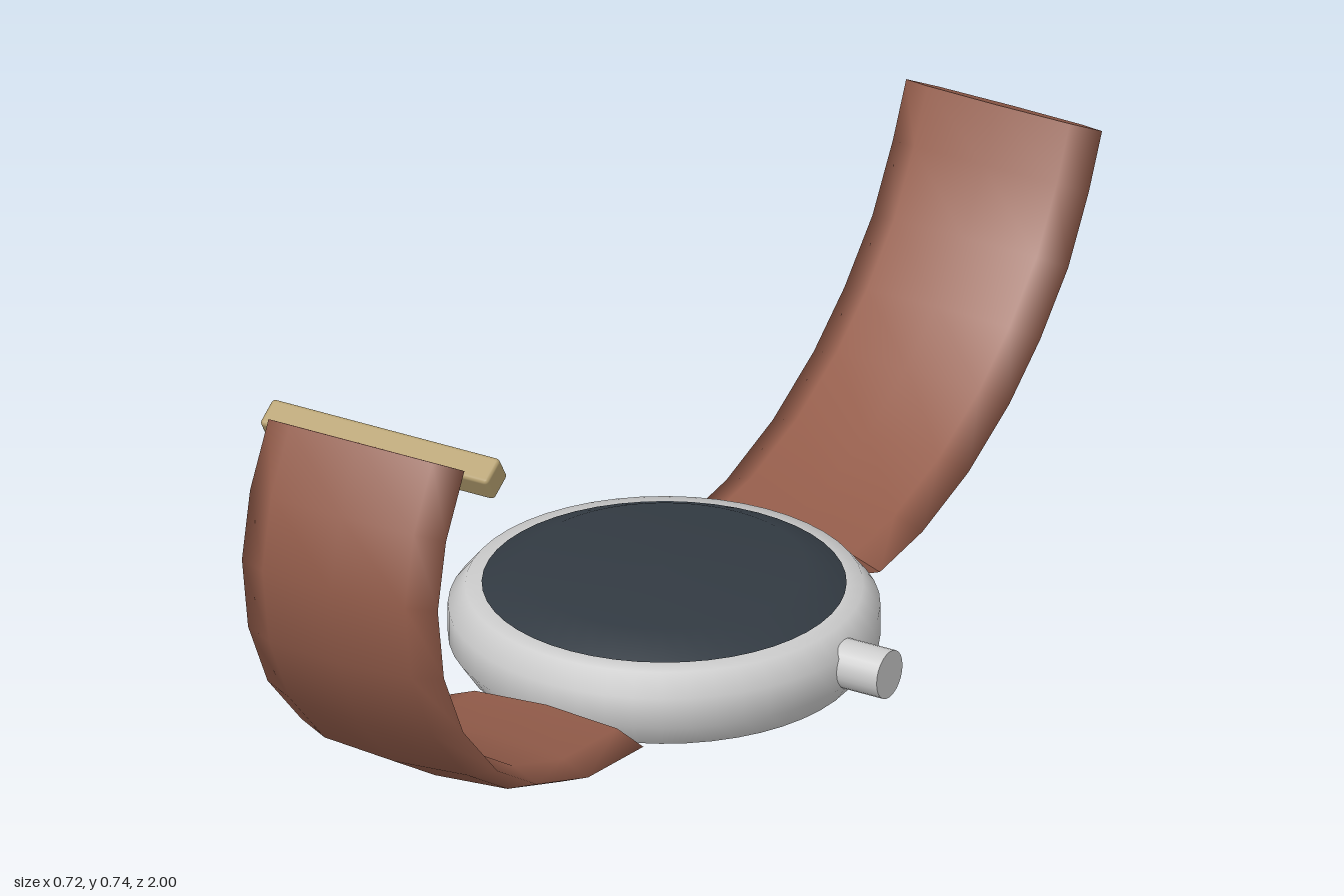
import * as THREE from 'three';
import { RoundedBoxGeometry } from 'three/addons/geometries/RoundedBoxGeometry.js';

const CX = -0.034; // centre line of the watch
const CZ = 0.025;  // centre of the case

const material = (color) => new THREE.MeshStandardMaterial({ color });

function addMesh(group, name, geometry, mat, x, y, z) {
  const mesh = new THREE.Mesh(geometry, mat);
  mesh.name = name;
  mesh.position.set(x, y, z);
  group.add(mesh);
  return mesh;
}

const lathe = (points) =>
  new THREE.LatheGeometry(points.map(([r, y]) => new THREE.Vector2(r, y)), 48);

// Lens-shaped strap section: [across, thickness], counter-clockwise
const SECTION = [
  [0.172, 0], [0.125, 0.018], [0, 0.026], [-0.125, 0.018],
  [-0.172, 0], [-0.125, -0.018], [0, -0.026], [0.125, -0.018],
];

// Sweeps the section along a path of [z, y] points, with closed ends
function strapGeometry(path) {
  const n = SECTION.length;
  const last = path.length - 1;
  const positions = [];
  const index = [];
  const addRing = (i) => {
    const [z0, y0] = path[Math.max(i - 1, 0)];
    const [z1, y1] = path[Math.min(i + 1, last)];
    const length = Math.hypot(z1 - z0, y1 - y0);
    const tz = (z1 - z0) / length;
    const ty = (y1 - y0) / length;
    for (const [across, thick] of SECTION) {
      positions.push(across, path[i][1] + thick * tz, path[i][0] - thick * ty);
    }
  };
  path.forEach((_, i) => addRing(i));
  for (let i = 0; i < last; i++) {
    for (let j = 0; j < n; j++) {
      const a = i * n + j;
      const b = i * n + (j + 1) % n;
      index.push(a, b, a + n, b, b + n, a + n);
    }
  }
  // End caps with their own vertices, so the edges stay sharp
  const start = positions.length / 3;
  addRing(0);
  addRing(last);
  for (let j = 1; j < n - 1; j++) {
    index.push(start, start + j + 1, start + j);
    index.push(start + n, start + n + j, start + n + j + 1);
  }
  const geometry = new THREE.BufferGeometry();
  geometry.setAttribute('position', new THREE.Float32BufferAttribute(positions, 3));
  geometry.setIndex(index);
  geometry.computeVertexNormals();
  return geometry;
}

export function createModel() {
  const watch = new THREE.Group();
  watch.name = 'wristwatch';
  const metal = material(0xcccccc);
  const leather = material(0x935c4a);
  const glass = material(0x323a42);
  const brass = material(0xb5a070);

  // Case: flat back and top, bevelled wall (repeated points keep an edge sharp)
  addMesh(watch, 'case', lathe([
    [0, 0], [0.3, 0], [0.3, 0], [0.326, 0.038], [0.326, 0.088],
    [0.3, 0.12], [0.27, 0.12], [0.27, 0.12], [0, 0.12],
  ]), metal, CX, 0, CZ);

  // Domed display glass
  addMesh(watch, 'display', lathe([
    [0, 0.124], [0.275, 0.124], [0.275, 0.124], [0.215, 0.151], [0, 0.154],
  ]), glass, CX, 0, CZ);

  // Crown on the side of the case
  const crown = addMesh(watch, 'crown',
    new THREE.CylinderGeometry(0.038, 0.038, 0.08, 24), metal, 0.32, 0.067, 0.022);
  crown.rotation.z = Math.PI / 2;

  // Straps
  addMesh(watch, 'frontStrap', strapGeometry([
    [0.373, 0.038], [0.535, 0.055], [0.685, 0.107], [0.8, 0.178], [0.9, 0.285],
    [0.957, 0.4], [0.975, 0.52], [0.951, 0.627], [0.897, 0.723],
  ]), leather, CX, 0, 0);
  addMesh(watch, 'backStrap', strapGeometry([
    [-0.32, 0.038], [-0.445, 0.053], [-0.58, 0.096], [-0.7, 0.16],
    [-0.79, 0.23], [-0.872, 0.316], [-0.932, 0.417], [-0.971, 0.503],
  ]), leather, CX, 0, 0);

  // Buckle bar at the end of the front strap
  const buckle = addMesh(watch, 'buckle',
    new RoundedBoxGeometry(0.4, 0.048, 0.048, 2, 0.007), brass, CX, 0.695, 0.847);
  buckle.rotation.x = 0.55;

  return watch;
}
